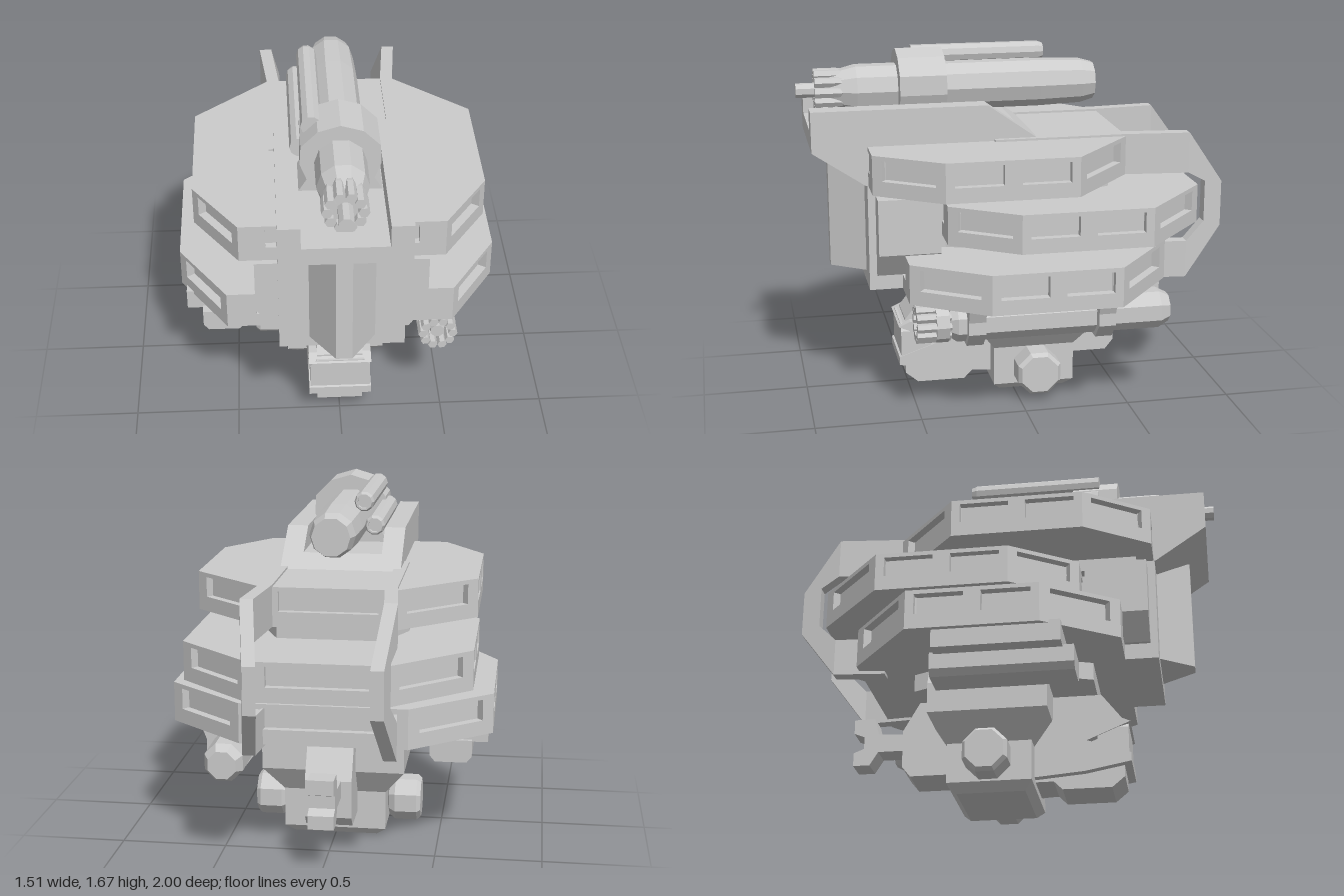
import * as THREE from 'three';

const mat = new THREE.MeshStandardMaterial({ color: 0xcccccc, flatShading: true });

function add(parent, name, geo, x = 0, y = 0, z = 0) {
  const m = new THREE.Mesh(geo, mat);
  m.name = name;
  m.position.set(x, y, z);
  parent.add(m);
  return m;
}
const shapeOf = pts => new THREE.Shape(pts.map(p => new THREE.Vector2(p[0], p[1])));
const extrude = (shape, depth) => new THREE.ExtrudeGeometry(shape, { depth, bevelEnabled: false });
const mirrorX = pts => [...pts, ...pts.map(([x, v]) => [-x, v]).reverse()];

// side profile [z, y] swept from x0 to x1
const sideSlab = (pts, x0, x1) =>
  extrude(shapeOf(pts.map(([z, y]) => [-z, y])), x1 - x0).rotateY(Math.PI / 2).translate(x0, 0, 0);
// plan outline [x, z] swept from y0 to y1
const planSlab = (pts, y0, y1) =>
  extrude(shapeOf(pts.map(([x, z]) => [x, -z])), y1 - y0).rotateX(-Math.PI / 2).translate(0, y0, 0);
// front outline [x, y] swept from z0 to z1
const frontSlab = (pts, z0, z1) => extrude(shapeOf(pts), z1 - z0).translate(0, 0, z0);
const box = (x0, x1, y0, y1, z0, z1) =>
  new THREE.BoxGeometry(x1 - x0, y1 - y0, z1 - z0).translate((x0 + x1) / 2, (y0 + y1) / 2, (z0 + z1) / 2);

// skin through four-cornered cross-sections, closed at both ends
function loft(sections) {
  const v = [];
  const quad = (a, b, c, d) => v.push(...a, ...b, ...c, ...a, ...c, ...d);
  for (let i = 0; i < sections.length - 1; i++) {
    for (let j = 0; j < 4; j++) {
      const k = (j + 1) % 4;
      quad(sections[i][j], sections[i][k], sections[i + 1][k], sections[i + 1][j]);
    }
  }
  quad(...[...sections[0]].reverse());
  quad(...sections[sections.length - 1]);
  const g = new THREE.BufferGeometry();
  g.setAttribute('position', new THREE.Float32BufferAttribute(v, 3));
  g.computeVertexNormals();
  return g;
}
const rect = (x, y, zf, zb) => [[x, y, zf], [x, y, zb], [-x, y, zb], [-x, y, zf]];

// faceted body turned around the z axis, profile [radius, z] from back to front
function turned(profile, sides) {
  const pts = profile.map(([r, z]) => new THREE.Vector2(r, z));
  return new THREE.LatheGeometry(pts, sides).rotateZ(0).rotateY(Math.PI / sides).rotateX(Math.PI / 2);
}

// octagonal deck whose faces carry recessed windows
function deck(name, half, y0, y1) {
  const g = new THREE.Group();
  g.name = name;
  const outline = mirrorX(half);
  const zc = (half[0][1] + half[half.length - 1][1]) / 2;
  add(g, name + 'Core', planSlab(outline.map(([x, z]) => [x * 0.945, zc + (z - zc) * 0.945]), y0, y1));
  outline.forEach((a, i) => {
    const b = outline[(i + 1) % outline.length];
    const len = Math.hypot(b[0] - a[0], b[1] - a[1]);
    const mx = (a[0] + b[0]) / 2, mz = (a[1] + b[1]) / 2;
    let nx = b[1] - a[1], nz = a[0] - b[0];
    if (nx * mx + nz * (mz - zc) < 0) { nx = -nx; nz = -nz; }
    const h = y1 - y0, w = len / 2;
    const s = shapeOf([[-w, 0], [w, 0], [w, h], [-w, h]]);
    // long side faces carry two windows, the others one
    const n = i !== outline.length - 1 && len > 0.56 && Math.abs(nx) > Math.abs(nz) ? 2 : 1;
    for (let k = 0; k < n; k++) {
      const c = -w + (len / n) * (k + 0.5), hw = (len / n) * 0.37;
      s.holes.push(new THREE.Path([[c - hw, 0.07], [c - hw, h - 0.02], [c + hw, h - 0.02], [c + hw, 0.07]]
        .map(p => new THREE.Vector2(...p))));
    }
    const m = add(g, name + 'Panel', extrude(s, 0.06).translate(0, 0, -0.06), mx, y0, mz);
    m.rotation.y = Math.atan2(nx, nz);
  });
  return g;
}

// ring of barrels around a hub
function barrels(parent, x, y, z0, z1, ring, r, count) {
  for (let i = 0; i < count; i++) {
    const a = (i / count) * Math.PI * 2;
    add(parent, 'barrel', turned([[0, z0], [r * 0.8, z0], [r, z0 + 0.03], [r, z1], [0, z1]], 6),
      x + Math.cos(a) * ring, y + Math.sin(a) * ring, 0);
  }
}

export function createModel() {
  const root = new THREE.Group();
  root.name = 'walkerTurret';

  // three stacked decks
  root.add(
    deck('topDeck', [[0.46, 0.7], [0.665, 0.4], [0.665, -0.21], [0.31, -0.52]], 1.09, 1.275),
    deck('middleDeck', [[0.46, 0.36], [0.665, 0.055], [0.665, -0.56], [0.31, -0.88]], 0.835, 1.02),
    deck('bottomDeck', [[0.53, 0.55], [0.755, 0.21], [0.755, -0.395], [0.385, -0.7]], 0.585, 0.775));

  // body between the decks
  add(root, 'innerCore', planSlab(mirrorX([[0.27, 0.4], [0.345, 0.19], [0.345, -0.24], [0.25, -0.45]]), 0.5, 1.1));
  add(root, 'frontPlate', box(-0.29, 0.29, 0.585, 1.12, 0.2, 0.705));
  add(root, 'frontPlateUpper', box(-0.345, 0.345, 1.03, 1.1, 0.2, 0.62));
  add(root, 'frontPillar', planSlab(mirrorX([[0.037, 0.865], [0.155, 0.7], [0.155, 0.6]]), 0.64, 1.19));
  for (const s of [-1, 1]) {
    add(root, 'cheek', frontSlab([[0.28, 1.045], [0.395, 1.045], [0.395, 0.78], [0.31, 0.66], [0.28, 0.66]]
      .map(([x, y]) => [s * x, y]), 0.38, 0.67));
  }

  // roof cradle with raised sides
  const side = [[0.955, 1.445], [0.14, 1.445], [-0.11, 1.27], [-0.11, 1.2], [0.6, 1.09], [0.71, 1.09], [0.955, 1.255]];
  const floor = [[0.955, 1.34], [-0.01, 1.34], [-0.11, 1.27], ...side.slice(3)];
  add(root, 'cradleFloor', sideSlab(floor, -0.2, 0.2));
  add(root, 'cradleSide', sideSlab(side, 0.19, 0.29));
  add(root, 'cradleSide', sideSlab(side, -0.29, -0.19));

  // curved rails wrapping round the back, as [outer z, outer y, inner z, inner y]
  const rail = [
    [0.11, 1.285, 0.11, 1.2], [-0.51, 1.285, -0.51, 1.09], [-0.82, 1.285, -0.82, 1.09], [-1, 1.03, -0.91, 1.04],
    [-1, 0.81, -0.91, 0.84], [-0.82, 0.57, -0.82, 0.75], [-0.58, 0.57, -0.58, 0.75]];
  const railX = z => z > -0.51 ? 0.255 : z > -0.82 ? 0.255 + (-0.51 - z) * 0.1 : 0.286 + (z + 0.82) * 0.22;
  for (const s of [-1, 1]) {
    add(root, 'backRail', loft(rail.map(([oz, oy, iz, iy]) => {
      const lo = z => s > 0 ? railX(z) : -railX(z) - 0.06;
      return [[lo(iz), iy, iz], [lo(oz), oy, oz], [lo(oz) + 0.06, oy, oz], [lo(iz) + 0.06, iy, iz]];
    })));
  }

  // hull and axle below the decks
  add(root, 'hull', loft([
    rect(0.2, 0, 0.07, -0.25), rect(0.245, 0.04, 0.105, -0.29), rect(0.245, 0.23, 0.105, -0.29),
    rect(0.34, 0.355, 0.19, -0.37), rect(0.34, 0.5, 0.19, -0.37), rect(0.29, 0.6, 0.3, -0.37)]));
  for (const s of [-1, 1]) {
    const wheel = turned([[0, 0.23], [0.09, 0.25], [0.112, 0.28], [0.112, 0.385], [0.095, 0.405], [0, 0.405]], 8);
    add(root, 'wheel', wheel.rotateY(s * Math.PI / 2), 0, 0.14, -0.09);
  }

  // head at the front
  add(root, 'head', sideSlab([[0.1, 0.07], [0.19, 0.07], [0.23, 0.03], [0.46, 0.03], [0.52, 0.08], [0.52, 0.36],
    [0.42, 0.49], [0.1, 0.49]], -0.11, 0.11));
  add(root, 'headShell', sideSlab([[0.1, 0.08], [0.34, 0.1], [0.555, 0.14], [0.555, 0.18], [0.35, 0.25], [0.555, 0.335],
    [0.5, 0.36], [0.1, 0.36]], -0.15, 0.15));
  add(root, 'headFace', frontSlab(mirrorX([[0.12, 0.14], [0.145, 0.18], [0.145, 0.31], [0.115, 0.345]]), 0.4, 0.545));

  // tail hitch
  add(root, 'tailBase', sideSlab([[-0.28, 0.13], [-0.49, 0.13], [-0.53, 0.18], [-0.53, 0.36], [-0.45, 0.5], [-0.28, 0.5]],
    -0.11, 0.11));
  add(root, 'tailHook', sideSlab([[-0.5, 0.28], [-0.66, 0.28], [-0.7, 0.215], [-0.78, 0.215], [-0.78, 0.28], [-0.73, 0.3],
    [-0.73, 0.36], [-0.78, 0.38], [-0.78, 0.45], [-0.68, 0.45], [-0.66, 0.37], [-0.5, 0.36]], -0.06, 0.06));

  // pod slung under the model's right
  add(root, 'podBracket', box(-0.73, -0.38, 0.5, 0.6, -0.28, 0.3));
  add(root, 'pod', frontSlab([[-0.655, 0.51], [-0.655, 0.43], [-0.63, 0.4], [-0.48, 0.4], [-0.455, 0.43], [-0.455, 0.51]],
    -0.3, 0.35));

  // gun slung under the model's left
  const gun = new THREE.Group();
  gun.name = 'lowerGun';
  root.add(gun);
  add(gun, 'gunBody', turned([[0, -0.69], [0.07, -0.69], [0.097, -0.64], [0.097, 0.33], [0.07, 0.37], [0.07, 0.4],
    [0, 0.4]], 8), 0.47, 0.47);
  add(gun, 'gunCollar', turned([[0, 0.36], [0.095, 0.37], [0.095, 0.43], [0, 0.44]], 10), 0.47, 0.47);
  add(gun, 'gunHub', turned([[0, 0.4], [0.035, 0.4], [0.035, 0.5], [0, 0.5]], 8), 0.47, 0.47);
  barrels(gun, 0.47, 0.47, 0.36, 0.52, 0.072, 0.022, 10);
  for (const z of [0.25, -0.365]) {
    add(gun, 'gunClamp', frontSlab([[0.29, 0.59], [0.345, 0.55], [0.365, 0.44], [0.42, 0.365], [0.53, 0.365], [0.6, 0.44],
      [0.6, 0.5], [0.635, 0.59]], z - 0.04, z + 0.04));
  }

  // main gun on the roof
  const main = new THREE.Group();
  main.name = 'mainGun';
  root.add(main);
  add(main, 'mainBody', turned([[0, -0.425], [0.09, -0.425], [0.108, -0.36], [0.116, -0.15], [0.116, 0.72], [0.085, 0.84],
    [0.07, 0.88], [0, 0.88]], 10), 0, 1.49);
  add(main, 'mainHub', turned([[0, 0.8], [0.035, 0.8], [0.035, 1], [0, 1]], 8), 0, 1.49);
  barrels(main, 0, 1.49, 0.78, 0.915, 0.078, 0.025, 10);
  add(main, 'mainCollar', frontSlab(mirrorX([[0.1, 1.645], [0.175, 1.57], [0.18, 1.48], [0.15, 1.4], [0.19, 1.335]])
    .concat([[0, 1.675]]), 0.31, 0.53));
  for (const [x, y] of [[-0.125, 1.62], [-0.175, 1.51]]) {
    add(main, 'sideTube', turned([[0, -0.18], [0.03, -0.18], [0.03, -0.205], [0.038, -0.205], [0.047, -0.18], [0.047, 0.44],
      [0, 0.44]], 10), x, y);
  }
  return root;
}
